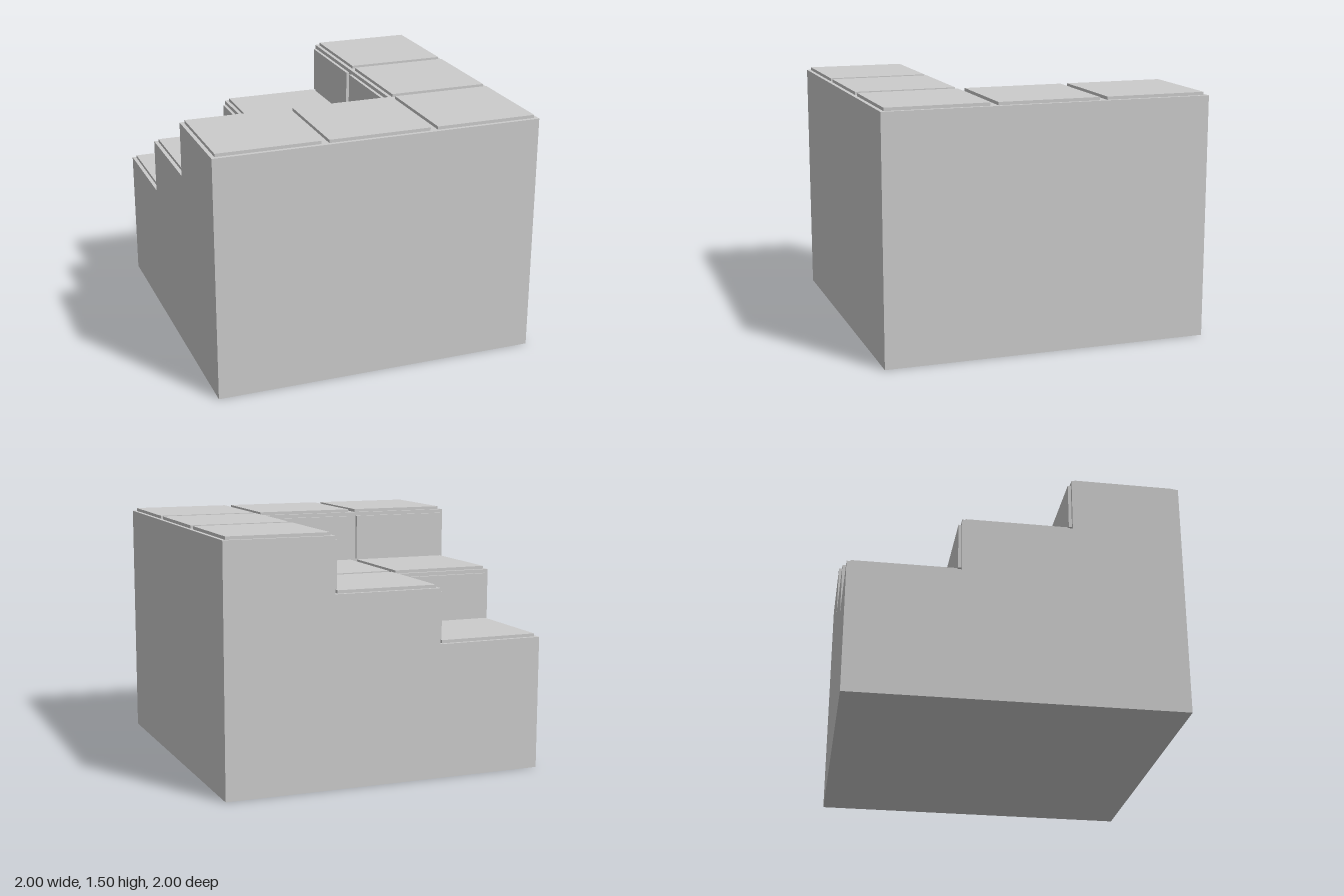
import * as THREE from 'three';

const CELL = 2 / 3;          // plan grid of 3 x 3 cells
const RISE = 1 / 3;          // height of one step
const T = 0.019;             // panel thickness
const TOP = 1.5 - T;         // body height at the highest level
const GAP = 0.023;           // margin around each panel
const PANEL = CELL - 2 * GAP;

const material = new THREE.MeshStandardMaterial({ color: 0xcccccc });
const levelHeight = (n) => TOP - (2 - n) * RISE;
const cellCentre = (i) => -1 + (i + 0.5) * CELL;

function addMesh(parent, name, geometry, x = 0, y = 0, z = 0) {
  const mesh = new THREE.Mesh(geometry, material);
  mesh.name = name;
  mesh.position.set(x, y, z);
  parent.add(mesh);
}

// Solid block of one level: a square corner (n = 0) or an L around the lower levels
function levelBlock(n) {
  const a = -1 + n * CELL, b = a + CELL;
  const plan = [[a, -1], [b, -1], [b, b], [-1, b], [-1, a], [a, a]].slice(0, n ? 6 : 4);
  const shape = new THREE.Shape(plan.map(([x, z]) => new THREE.Vector2(x, -z)));
  return new THREE.ExtrudeGeometry(shape, { depth: levelHeight(n), bevelEnabled: false })
    .rotateX(-Math.PI / 2);
}

export function createModel() {
  const model = new THREE.Group();
  model.name = 'cornerSteps';
  const body = new THREE.Group(), treads = new THREE.Group(), risers = new THREE.Group();
  body.name = 'body';
  treads.name = 'treadPanels';
  risers.name = 'riserPanels';
  model.add(body, treads, risers);

  for (let n = 0; n < 3; n++) addMesh(body, 'stepBlock', levelBlock(n));

  // Raised panel on top of every cell
  const tread = new THREE.BoxGeometry(PANEL, T, PANEL);
  for (let i = 0; i < 3; i++) {
    for (let k = 0; k < 3; k++) {
      const y = levelHeight(Math.max(i, k)) + T / 2;
      addMesh(treads, 'treadPanel', tread, cellCentre(i), y, cellCentre(k));
    }
  }

  // Raised panels on the vertical faces between levels, along both directions
  const riserHeight = RISE - 2 * GAP;
  const riserX = new THREE.BoxGeometry(T, riserHeight, PANEL);
  const riserZ = new THREE.BoxGeometry(PANEL, riserHeight, T);
  for (let n = 1; n < 3; n++) {
    const face = -1 + n * CELL - T / 2;
    const y = levelHeight(n) - RISE / 2;
    for (let k = 0; k < n; k++) {
      addMesh(risers, 'riserPanel', riserX, face, y, cellCentre(k));
      addMesh(risers, 'riserPanel', riserZ, cellCentre(k), y, face);
    }
  }
  return model;
}
